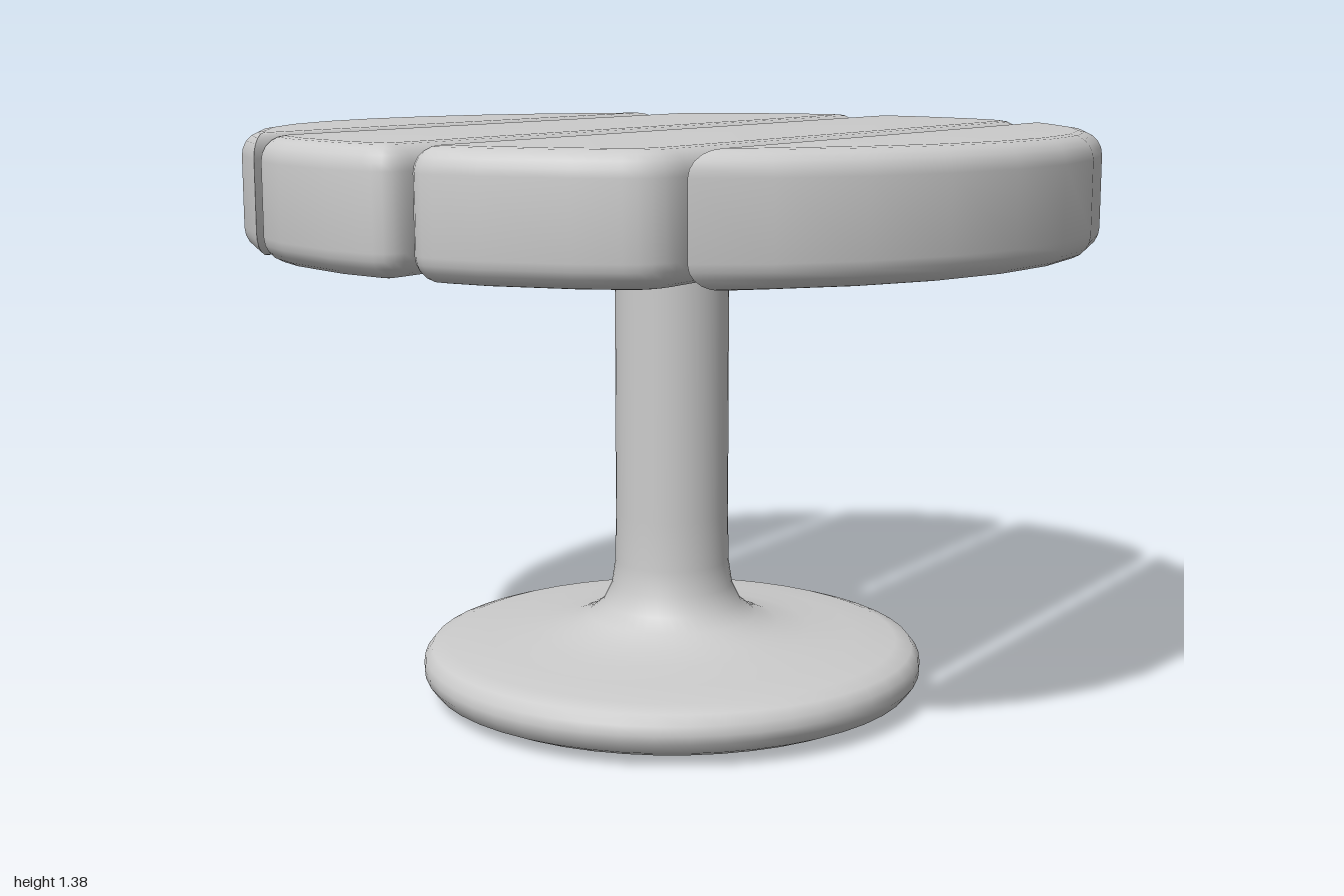
import * as THREE from 'three';
import { toCreasedNormals } from 'three/addons/utils/BufferGeometryUtils.js';

const BOTTOM = 1.105, TOP = 1.38, BEVEL = 0.055, SIDES = 32;

// z of the 32-sided table rim at a given x
function rimZ(x) {
  const step = (Math.PI * 2) / SIDES;
  const a = Math.floor(Math.asin(x) / step) * step;
  const t = (x - Math.sin(a)) / (Math.sin(a + step) - Math.sin(a));
  return THREE.MathUtils.lerp(Math.cos(a), Math.cos(a + step), t);
}

// Rim vertices with x between two limits, from front to back
function rimPoints(x0, x1) {
  const points = [];
  for (let i = 0; i <= SIDES / 2; i++) {
    const a = (i / SIDES) * Math.PI * 2;
    const x = Math.sin(a);
    if (x > x0 + 0.01 && x < x1 - 0.01) points.push(new THREE.Vector2(x, Math.cos(a)));
  }
  return points;
}

// Closed outline; corners listed in `round` are softened over distance d
function outline(points, round, d) {
  const shape = new THREE.Shape();
  const n = points.length;
  points.forEach((p, i) => {
    const go = (q) => (i === 0 ? shape.moveTo(q.x, q.y) : shape.lineTo(q.x, q.y));
    if (!round.includes(p)) return go(p);
    const toward = (q) => q.clone().sub(p).setLength(d).add(p);
    const b = toward(points[(i + 1) % n]);
    go(toward(points[(i + n - 1) % n]));
    shape.quadraticCurveTo(p.x, p.y, b.x, b.y);
  });
  shape.closePath();
  return shape;
}

function plankGeometry(shape) {
  const geometry = new THREE.ExtrudeGeometry(shape, {
    depth: TOP - BOTTOM - 2 * BEVEL,
    bevelThickness: BEVEL,
    bevelSize: BEVEL,
    bevelOffset: -BEVEL,
    bevelSegments: 5,
    curveSegments: 5,
  });
  geometry.rotateX(-Math.PI / 2).translate(0, BOTTOM + BEVEL, 0);
  return toCreasedNormals(geometry, 0.7);
}

export function createModel() {
  const group = new THREE.Group();
  const material = new THREE.MeshStandardMaterial({ color: 0xcccccc });
  const add = (name, geometry, turn = 0) => {
    const mesh = new THREE.Mesh(geometry, material);
    mesh.name = name;
    mesh.rotation.y = turn;
    group.add(mesh);
  };

  // Inner plank: four rounded corners, ends following the rim
  const x0 = 0.014, x1 = 0.541;
  const corners = [[x0, 1], [x1, 1], [x1, -1], [x0, -1]].map(
    ([x, s]) => new THREE.Vector2(x, s * rimZ(x)));
  const ends = rimPoints(x0, x1);
  const half = ends.length / 2;
  const inner = plankGeometry(outline([
    corners[0], ...ends.slice(0, half), corners[1],
    corners[2], ...ends.slice(half), corners[3],
  ], corners, 0.08));

  // Outer plank: a circle segment with pointed ends
  const cut = 0.572;
  const outer = plankGeometry(outline([
    new THREE.Vector2(cut, 0.805), ...rimPoints(cut, 1.1), new THREE.Vector2(cut, -0.805),
  ], [], 0));

  add('innerPlankLeft', inner);
  add('innerPlankRight', inner, Math.PI);
  add('outerPlankLeft', outer);
  add('outerPlankRight', outer, Math.PI);

  // Pedestal: disc foot flowing into a round column
  const profile = [
    [0, 0], [0.3, 0.002], [0.48, 0.008], [0.55, 0.017], [0.59, 0.035], [0.608, 0.06],
    [0.61, 0.08], [0.607, 0.102], [0.59, 0.124], [0.55, 0.137], [0.45, 0.147],
    [0.34, 0.158], [0.26, 0.173], [0.205, 0.195], [0.17, 0.225], [0.148, 0.27],
    [0.139, 0.33], [0.137, 0.45], [0.137, 1.09], [0.135, 1.11], [0.125, 1.122],
    [0.11, 1.125], [0, 1.125],
  ].map(([r, y]) => new THREE.Vector2(r, y));
  add('pedestal', new THREE.LatheGeometry(profile, 48));

  return group;
}
